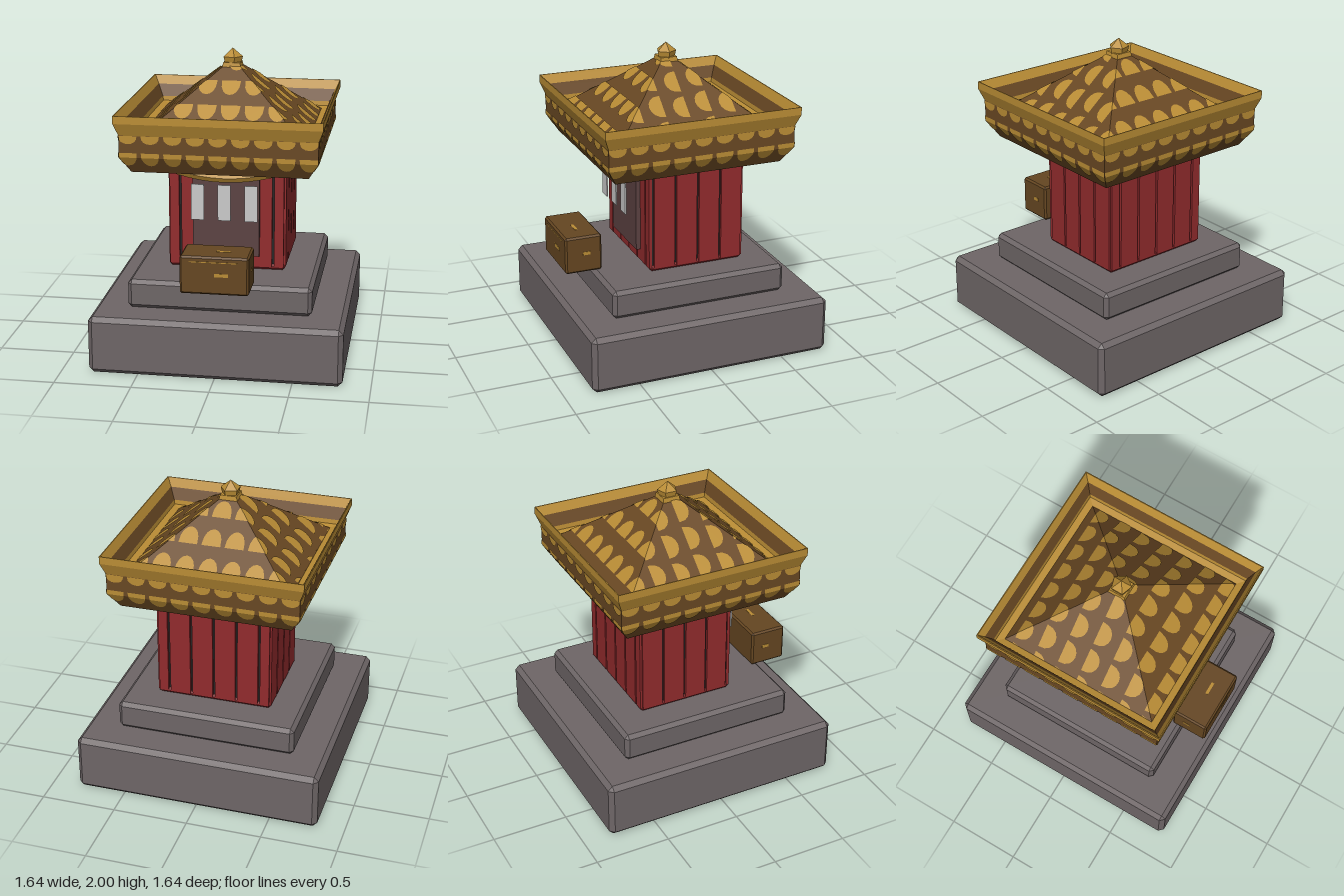
import * as THREE from 'three';
import { ConvexGeometry } from 'three/addons/geometries/ConvexGeometry.js';

const material = (name, color, side = THREE.FrontSide) =>
  Object.assign(new THREE.MeshStandardMaterial({ color, side }), { name });

// Flat-shaded copy of a geometry
function flat(geometry) {
  const g = geometry.index ? geometry.toNonIndexed() : geometry;
  g.computeVertexNormals();
  return g;
}

// Box with every edge chamfered by c, given by its minimum and maximum corners
function chamferBox(min, max, c) {
  const mid = min.map((v, i) => (v + max[i]) / 2);
  const half = min.map((v, i) => (max[i] - v) / 2);
  const points = [];
  for (const sx of [-1, 1]) for (const sy of [-1, 1]) for (const sz of [-1, 1])
    for (let full = 0; full < 3; full++) {
      const p = [sx, sy, sz].map((s, i) => mid[i] + s * (half[i] - (i === full ? 0 : c)));
      points.push(new THREE.Vector3(...p));
    }
  return new ConvexGeometry(points);
}

function box(min, max) {
  const size = max.map((v, i) => v - min[i]);
  return new THREE.BoxGeometry(...size).translate(...min.map((v, i) => v + size[i] / 2));
}

// Square ring or pyramid from a [half width, height] profile
function squareLathe(profile) {
  const points = profile.map(([r, y]) => new THREE.Vector2(r * Math.SQRT2, y));
  return flat(new THREE.LatheGeometry(points, 4, Math.PI / 4));
}

// Keep the part of a convex 2D polygon where f (linear) is positive
function clip(poly, f) {
  const out = [];
  poly.forEach((a, i) => {
    const b = poly[(i + 1) % poly.length];
    const fa = f(a), fb = f(b);
    if (fa >= 0) out.push(a);
    if (fa * fb < 0) {
      const t = fa / (fa - fb);
      out.push([a[0] + (b[0] - a[0]) * t, a[1] + (b[1] - a[1]) * t]);
    }
  });
  return out;
}

// Roof tile outline: straight on one side, rounded on the other
function lobe(u, v, width, depth) {
  const points = [];
  for (let i = 0; i <= 8; i++) {
    const a = Math.PI * i / 8;
    points.push([u + Math.cos(a) * width / 2, v + Math.pow(Math.sin(a), 0.8) * depth]);
  }
  return points;
}

// Clipped polygons become one surface through a 2D to 3D mapping
function plates(polygons, map) {
  const positions = [];
  for (const poly of polygons)
    for (let i = 1; i < poly.length - 1; i++)
      for (const p of [poly[0], poly[i], poly[i + 1]]) positions.push(...map(p));
  const g = new THREE.BufferGeometry();
  g.setAttribute('position', new THREE.Float32BufferAttribute(positions, 3));
  return flat(g);
}

export function createModel() {
  const model = new THREE.Group();
  model.name = 'shrine';
  const stone = material('stone', 0x6e6667);
  const red = material('red wood', 0x922b2d);
  const dark = material('dark gap', 0x262424);
  const doorWood = material('door wood', 0x5c4242);
  const brown = material('roof brown', 0x694823);
  const gold = material('gold', 0xba8d35, THREE.DoubleSide);
  const boxWood = material('box wood', 0x654621);
  const paper = material('paper', 0xcaca_ca);

  const add = (name, geometry, mat, parent = model) => {
    const mesh = new THREE.Mesh(geometry, mat);
    mesh.name = name;
    parent.add(mesh);
    return mesh;
  };
  const group = (name) => {
    const g = new THREE.Group();
    g.name = name;
    model.add(g);
    return g;
  };

  // Stepped stone base
  add('lowerStep', chamferBox([-0.82, 0, -0.82], [0.82, 0.38, 0.82], 0.03), stone);
  add('upperStep', chamferBox([-0.6, 0.38, -0.6], [0.6, 0.57, 0.6], 0.025), stone);

  // Room: dark core clad in planks with narrow gaps
  const walls = group('walls');
  add('core', box([-0.372, 0.575, -0.372], [0.372, 1.31, 0.252]), dark, walls);
  add('sill', chamferBox([-0.385, 0.57, -0.385], [0.385, 0.61, 0.265], 0.015), red, walls);
  const pitch = 0.157, gap = 0.015;
  for (let i = 0; i < 4; i++) {
    const z = -0.383 + i * pitch + gap / 2;
    for (const x of [-0.39, 0.37])
      add('sidePlank', box([x, 0.59, z], [x + 0.02, 1.3, z + pitch - gap]), red, walls);
  }
  const seams = [-0.385, -0.308, -0.154, 0, 0.154, 0.308, 0.385];
  for (let i = 0; i < seams.length - 1; i++)
    for (const z of [-0.39, 0.25])
      add('endPlank', box([seams[i] + gap / 2, 0.59, z], [seams[i + 1] - gap / 2, 1.3, z + 0.02]), red, walls);

  // Door
  add('door', box([-0.22, 0.67, 0.25], [0.22, 1.24, 0.3]), doorWood);

  // Sagging rope with hanging paper strips
  const ropeCurve = new THREE.QuadraticBezierCurve3(
    new THREE.Vector3(-0.36, 1.275, 0.345),
    new THREE.Vector3(0, 1.175, 0.42),
    new THREE.Vector3(0.36, 1.275, 0.345));
  add('rope', flat(new THREE.TubeGeometry(ropeCurve, 10, 0.034, 6)), gold);
  for (const x of [-0.175, 0, 0.175])
    add('paperStrip', box([x - 0.042, 0.93, 0.365], [x + 0.042, 1.17, 0.374]), paper);

  // Offering box with small gold marks
  const chest = group('offeringBox');
  add('chest', chamferBox([-0.22, 0.57, 0.54], [0.22, 0.82, 0.79], 0.012), boxWood, chest);
  add('frontLine', box([-0.16, 0.782, 0.788], [0.15, 0.787, 0.792]), gold, chest);
  add('frontMark', box([0, 0.69, 0.788], [0.09, 0.712, 0.792]), gold, chest);
  add('topMark', box([0, 0.818, 0.66], [0.09, 0.822, 0.68]), gold, chest);
  for (const s of [-1, 1]) {
    const x = s * 0.22;
    add('sideMark', box([x - 0.002, 0.69, 0.62], [x + 0.002, 0.712, 0.67]), gold, chest);
  }

  // Roof shell: skirt, raised rim, gutter and pyramid
  const roof = group('roof');
  add('skirt', squareLathe([[0, 1.29], [0.565, 1.29], [0.63, 1.4], [0.63, 1.54]]), brown, roof);
  add('rim', squareLathe([[0.63, 1.54], [0.66, 1.62], [0.66, 1.67], [0.654, 1.67], [0.625, 1.61]]), gold, roof);
  add('rimInside', squareLathe([[0.625, 1.61], [0.59, 1.53]]), brown, roof);
  add('gutter', squareLathe([[0.59, 1.53], [0.585, 1.5], [0.54, 1.49]]), gold, roof);
  add('pyramid', squareLathe([[0.54, 1.49], [0, 1.93]]), brown, roof);

  // Tiles on the pyramid share one grid across all four slopes
  const slopes = [
    ([x, z]) => z - Math.abs(x), ([x, z]) => -z - Math.abs(x),
    ([x, z]) => x - Math.abs(z), ([x, z]) => -x - Math.abs(z)];
  const edges = [
    [([x, z]) => z - x, ([x, z]) => z + x, ([, z]) => 0.54 - z],
    [([x, z]) => x - z, ([x, z]) => -z - x, ([, z]) => 0.54 + z],
    [([x, z]) => x - z, ([x, z]) => x + z, ([x]) => 0.54 - x],
    [([x, z]) => z - x, ([x, z]) => -x - z, ([x]) => 0.54 + x]];
  const topTiles = [];
  for (let row = 0; row < 7; row++)
    for (let i = -4; i <= 4; i++) {
      const tile = lobe(0.015 + i * 0.153 + (row % 2) * 0.02, -0.48 + row * 0.158, 0.125, 0.092);
      slopes.forEach((inside, k) => {
        if (tile.some((p) => inside(p) > 0)) topTiles.push(edges[k].reduce(clip, tile));
      });
    }
  add('pyramidTiles', plates(topTiles, ([x, z]) =>
    [x, 1.936 - 0.815 * Math.max(Math.abs(x), Math.abs(z)), z]), gold, roof);

  // Two rows of tiles around the skirt, folded at its bend
  const reach = (y) => (y > 1.4 ? 0.63 : 0.565 + (y - 1.29) * 0.59);
  const skirtTiles = [];
  for (const [top, depth] of [[1.54, -0.052], [1.43, -0.09]])
    for (let i = -5; i <= 5; i++) {
      const tile = lobe(i * 0.143, top, 0.118, depth);
      const ends = [([u, y]) => Math.min(0.63, reach(y)) - u, ([u, y]) => Math.min(0.63, reach(y)) + u];
      for (const side of [1, -1]) {
        const half = clip(tile, ([, y]) => side * (y - 1.4));
        if (half.length > 2) skirtTiles.push(ends.reduce(clip, half));
      }
    }
  const skirtPlates = plates(skirtTiles, ([u, y]) => [u, y, reach(y) + 0.004]);
  for (let k = 0; k < 4; k++)
    add('skirtTiles', skirtPlates, gold, roof).rotation.y = k * Math.PI / 2;

  // Finial
  add('finialCollar', squareLathe([[0.062, 1.875], [0.055, 1.91], [0, 1.91]]), gold, roof);
  const knob = [[0.05, 1.87], [0.067, 1.945], [0, 2]].map((p) => new THREE.Vector2(...p));
  add('finial', flat(new THREE.LatheGeometry(knob, 5, 0.3)), gold, roof);
  return model;
}
